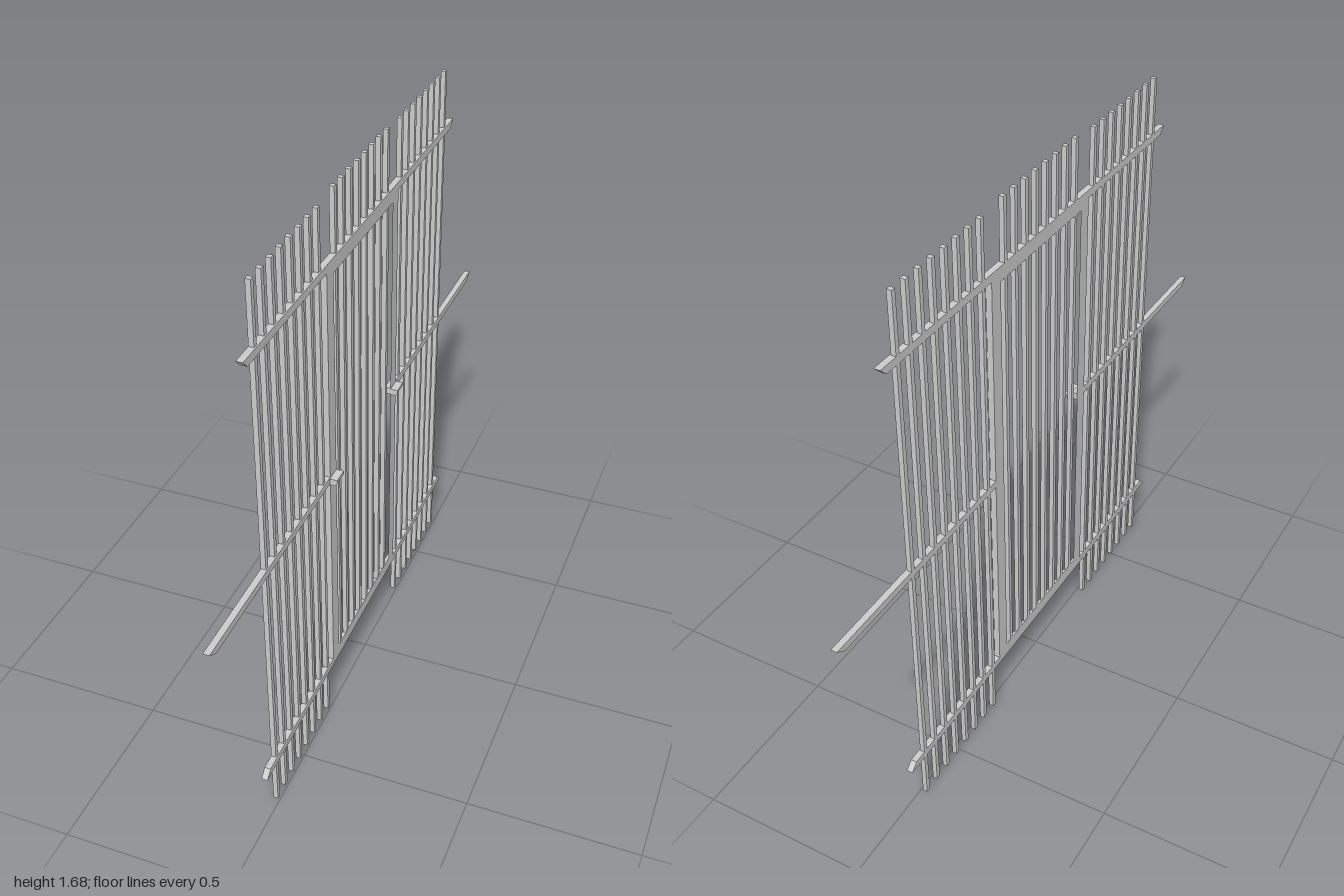
import * as THREE from 'three';

const BACK = -0.02, FRONT = -0.002; // x range of the flat panel

export function createModel() {
  const group = new THREE.Group();
  const mat = new THREE.MeshStandardMaterial({ color: 0xcccccc, flatShading: true });

  function add(name, geometry) {
    const mesh = new THREE.Mesh(geometry, mat);
    mesh.name = name;
    group.add(mesh);
    return mesh;
  }

  function box(name, x0, x1, y0, y1, z0, z1) {
    add(name, new THREE.BoxGeometry(x1 - x0, y1 - y0, z1 - z0))
      .position.set((x0 + x1) / 2, (y0 + y1) / 2, (z0 + z1) / 2);
  }

  // Outline in (z, y), given thickness along x
  function plate(name, points, x0, x1, hole) {
    const flip = ([z, y]) => new THREE.Vector2(-z, y);
    const shape = new THREE.Shape(points.map(flip));
    if (hole) shape.holes.push(new THREE.Path(hole.map(flip)));
    const geo = new THREE.ExtrudeGeometry(shape, { depth: x1 - x0, bevelEnabled: false });
    geo.rotateY(Math.PI / 2).translate(x0, 0, 0);
    add(name, geo);
  }

  const rect = (z, y0, y1) => [[-z, y0], [z, y0], [z, y1], [-z, y1]];

  // Door frame with its opening
  plate('doorFrame', rect(0.26, 0.15, 1.498), BACK, FRONT, rect(0.216, 0.192, 1.455));

  // Long rails with slanted ends
  plate('topRail', [[-0.72, 1.475], [0.72, 1.475], [0.743, 1.498], [-0.743, 1.498]], BACK, FRONT);
  plate('bottomRail', [[-0.743, 0.149], [0.743, 0.149], [0.72, 0.171], [-0.72, 0.171]], BACK, FRONT);

  // Square upright bars
  const w = 0.007;
  for (let i = 0; i < 8; i++) {
    const z = 0.296 + i * 0.0535;
    for (const s of [1, -1]) {
      box('sideBar', BACK, -0.006, 0, 1.67, s * z - w - 0.002, s * z + w - 0.002);
    }
    const zc = 0.187 - i * 0.0537;
    box('doorBar', BACK, -0.006, 0.17, 1.68, zc - w, zc + w);
  }

  // Middle arms and the catches at their inner ends
  for (const s of [1, -1]) {
    plate('middleArm',
      [[s * 0.216, 0.829], [s * 0.97, 0.829], [s * 1, 0.85], [s * 0.216, 0.85]], BACK, FRONT);
    const profile = new THREE.Shape([
      [FRONT, 0.827], [0.012, 0.827], [0.02, 0.837], [0.02, 0.847], [FRONT, 0.847],
    ].map(([x, y]) => new THREE.Vector2(x, y)));
    const catchGeo = new THREE.ExtrudeGeometry(profile, { depth: 0.048, bevelEnabled: false });
    catchGeo.translate(0, 0, s * 0.24 - 0.024);
    add('catch', catchGeo);
  }
  return group;
}
